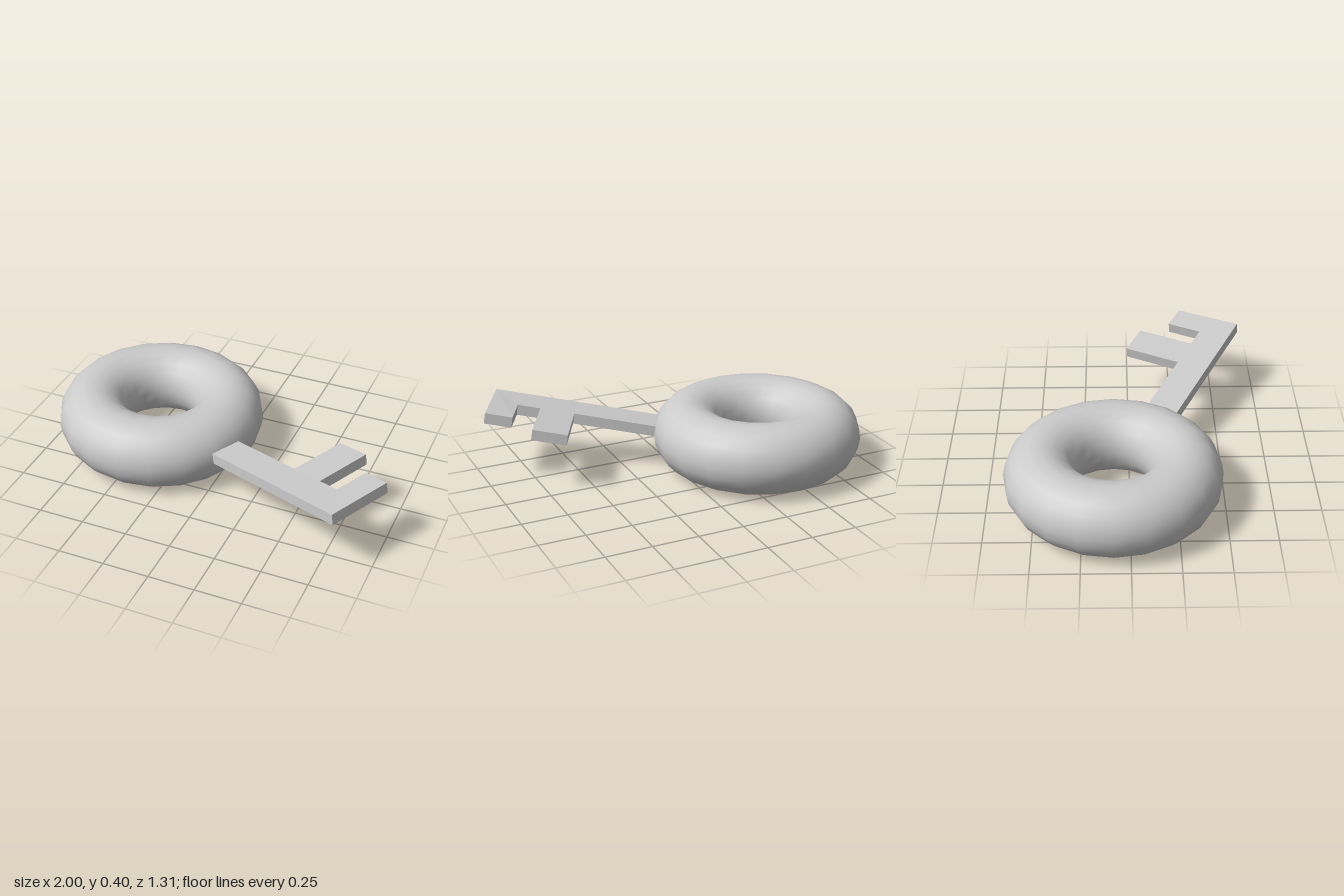
import * as THREE from 'three';

export function createModel() {
  const model = new THREE.Group();
  const material = new THREE.MeshStandardMaterial({ color: 0xcccccc });
  const center = new THREE.Vector3(-0.43, 0.19, -0.085);
  const ringRadius = 0.38, tubeRadius = 0.19, sides = 20;

  // thick ring lying flat
  const ring = new THREE.Mesh(
    new THREE.TorusGeometry(ringRadius, tubeRadius, sides, sides).rotateX(-Math.PI / 2), material);
  ring.name = 'ring';
  ring.position.copy(center);
  model.add(ring);

  // key blade: u runs outward along the shaft, v across it towards the teeth
  const h = 0.089, rise = Math.PI / 20, heading = Math.PI * 0.15;
  const outline = [
    [-0.02, -h], [0.905, -h], [0.905, 0.288], [0.758, 0.288], [0.758, h],
    [0.635, h], [0.635, 0.416], [0.448, 0.416], [0.448, h], [-0.02, h],
  ].map(([u, v]) => new THREE.Vector2(u, v));
  const bladeGeometry = new THREE.ExtrudeGeometry(new THREE.Shape(outline), {
    depth: 0.059, bevelEnabled: false,
  });

  // teeth lift very slightly towards their tips
  const p = bladeGeometry.attributes.position;
  for (let i = 0; i < p.count; i++) {
    p.setZ(i, p.getZ(i) + 0.028 * Math.max(0, p.getY(i) - h));
  }
  bladeGeometry.computeVertexNormals();

  // the blade leaves the ring square to one of its faces, tilted upward
  const c = Math.cos(heading), s = Math.sin(heading);
  const cr = Math.cos(rise), sr = Math.sin(rise);
  const along = new THREE.Vector3(cr * c, sr, cr * s);
  const across = new THREE.Vector3(s, 0, -c);
  const up = new THREE.Vector3().crossVectors(along, across);
  const reach = (ringRadius + tubeRadius) * Math.cos(Math.PI / sides);
  const blade = new THREE.Mesh(bladeGeometry, material);
  blade.name = 'keyBlade';
  blade.quaternion.setFromRotationMatrix(new THREE.Matrix4().makeBasis(along, across, up));
  blade.position.set(center.x + reach * c, center.y, center.z + reach * s);
  model.add(blade);

  return model;
}
